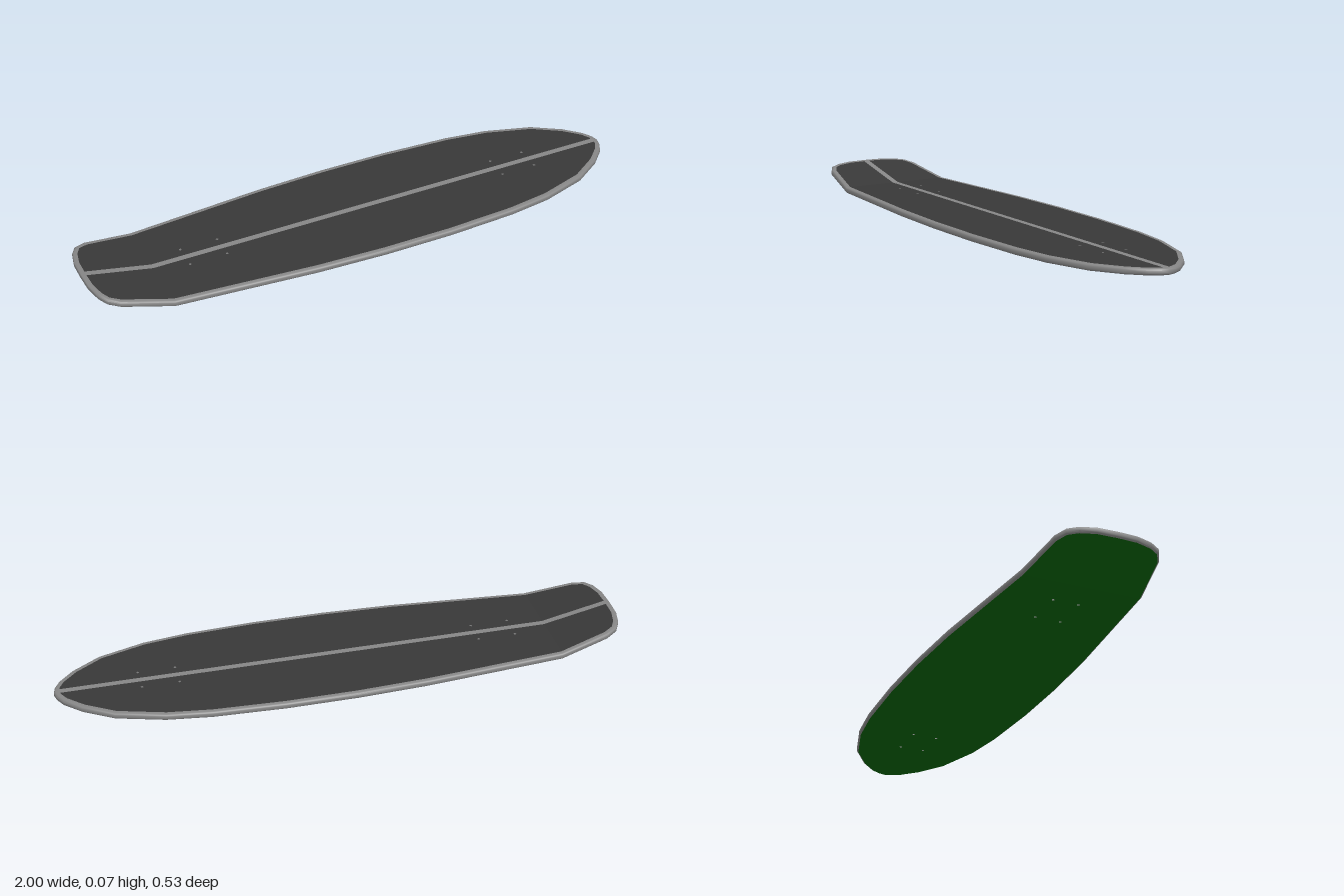
import * as THREE from 'three';
import { toCreasedNormals } from 'three/addons/utils/BufferGeometryUtils.js';

const THICK = 0.022, BEND = -0.75, RISE = 0.053, STRIPE = 0.011, BORDER = 0.018;

// Half outline of the deck (x, z) from tail to nose
const HALF = [
  [-1, 0], [-0.998, 0.07], [-0.985, 0.125], [-0.965, 0.16], [-0.925, 0.182], [BEND, 0.211],
  [-0.5, 0.233], [-0.25, 0.255], [0, 0.266], [0.25, 0.266], [0.5, 0.253], [0.655, 0.231],
  [0.82, 0.18], [0.92, 0.115], [0.975, 0.06], [0.993, 0.028], [1, 0],
];
const OUTLINE = [...HALF, ...HALF.slice(1, -1).reverse().map(([x, z]) => [x, -z])]
  .map(([x, z]) => new THREE.Vector2(x, z));

// Truck bolt positions
const BOLTS = [];
for (const x of [-0.63, -0.495, 0.575, 0.705])
  for (const z of [-0.045, 0.045]) BOLTS.push([x, z]);
const BOLT_R = 0.005;

// Height added by the kicked-up tail
const lift = (x) => (x < BEND ? (RISE * (BEND - x)) / (1 + BEND) : 0);

function inset(d) {
  const n = OUTLINE.length;
  return OUTLINE.map((p, i) => {
    const t = OUTLINE[(i + 1) % n].clone().sub(p).normalize()
      .add(p.clone().sub(OUTLINE[(i + n - 1) % n]).normalize()).normalize();
    const q = new THREE.Vector2(p.x + t.y * d, p.y - t.x * d);
    if (p.x === BEND) q.x = BEND;
    return q;
  });
}

// Keep the part of a polygon where sign * (axis - limit) >= 0
function clip(poly, axis, sign, limit) {
  const out = [];
  poly.forEach((p, i) => {
    const q = poly[(i + 1) % poly.length];
    const a = sign * (p[axis] - limit), b = sign * (q[axis] - limit);
    if (a >= 0) out.push(p);
    if (a * b < 0) out.push(p.clone().lerp(q, a / (a - b)));
  });
  return out;
}

// Flat sheet at height y, folded at the bend, facing up or down
function sheet(name, poly, y, up, material) {
  const group = new THREE.Group();
  group.name = name;
  for (const side of [1, -1]) {
    const part = clip(poly, 'x', side, BEND);
    const shape = new THREE.Shape(part);
    const zs = part.map((p) => p.y);
    if (side > 0) for (const [x, z] of BOLTS) {
      if (z < Math.min(...zs) || z > Math.max(...zs)) continue;
      const hole = new THREE.Path();
      hole.absarc(x, z, BOLT_R, 0, Math.PI * 2, true);
      shape.holes.push(hole);
    }
    const geo = new THREE.ShapeGeometry(shape, 4);
    geo.rotateX(up ? -Math.PI / 2 : Math.PI / 2);
    const pos = geo.attributes.position;
    for (let i = 0; i < pos.count; i++) pos.setY(i, y + lift(pos.getX(i)));
    geo.computeVertexNormals();
    const mesh = new THREE.Mesh(geo, material);
    mesh.name = name + (side > 0 ? 'Main' : 'Tail');
    group.add(mesh);
  }
  return group;
}

// Rounded edge lofted through inset copies of the outline
function rimGeometry() {
  const profile = [
    [BORDER, THICK], [0.006, THICK], [0.002, 0.0195], [0, 0.016],
    [0, 0.006], [0.002, 0.0025], [0.006, 0],
  ];
  const n = OUTLINE.length, positions = [], index = [];
  profile.forEach(([d, y], j) => inset(d).forEach((p, i) => {
    positions.push(p.x, y + lift(p.x), p.y);
    if (j === profile.length - 1) return;
    const a = j * n + i, d2 = j * n + (i + 1) % n;
    index.push(a, a + n, d2 + n, a, d2 + n, d2);
  }));
  const geo = new THREE.BufferGeometry();
  geo.setAttribute('position', new THREE.Float32BufferAttribute(positions, 3));
  geo.setIndex(index);
  return toCreasedNormals(geo, 0.75);
}

export function createModel() {
  const deck = new THREE.Group();
  deck.name = 'skateboardDeck';
  const grip = new THREE.MeshStandardMaterial({ color: 0x383838 });
  const wood = new THREE.MeshStandardMaterial({ color: 0x858585 });
  const green = new THREE.MeshStandardMaterial({ color: 0x066206 });

  // Grip tape halves with the bare stripe between them
  const top = inset(BORDER);
  deck.add(sheet('gripLeft', clip(top, 'y', 1, STRIPE), THICK, true, grip));
  deck.add(sheet('gripRight', clip(top, 'y', -1, -STRIPE), THICK, true, grip));
  deck.add(sheet('centreStripe', clip(clip(top, 'y', 1, -STRIPE), 'y', -1, STRIPE), THICK, true, wood));

  // Painted underside
  deck.add(sheet('underside', inset(0.006), 0, false, green));

  const rim = new THREE.Mesh(rimGeometry(), wood);
  rim.name = 'rim';
  deck.add(rim);

  // Walls of the bolt holes
  const wallMat = new THREE.MeshStandardMaterial({ color: 0x858585, side: THREE.BackSide });
  const wallGeo = new THREE.CylinderGeometry(BOLT_R, BOLT_R, THICK, 8, 1, true);
  for (const [x, z] of BOLTS) {
    const wall = new THREE.Mesh(wallGeo, wallMat);
    wall.name = 'boltHole';
    wall.position.set(x, THICK / 2, z);
    deck.add(wall);
  }
  return deck;
}
